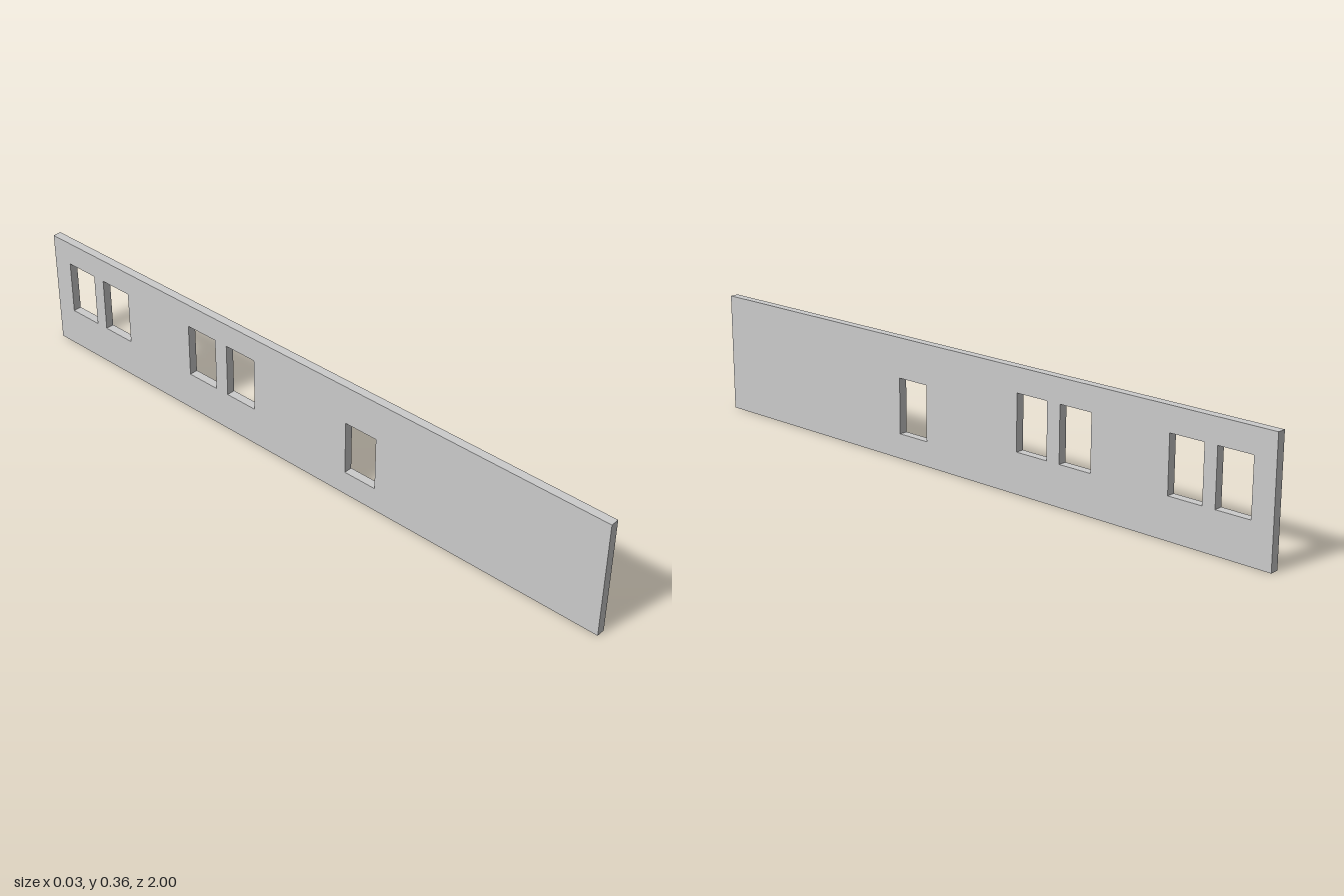
import * as THREE from 'three';

const LENGTH = 2, HEIGHT = 0.357, THICKNESS = 0.026;
const WINDOW_W = 0.106, WINDOW_H = 0.165;

// Window openings: centre z and sill height
const WINDOWS = [
  [0.213, 0.074],
  [-0.231, 0.12],
  [-0.381, 0.12],
  [-0.737, 0.12],
  [-0.882, 0.12],
];

// Adds a rectangle to a shape or hole path
function rect(path, x, y, w, h) {
  path.moveTo(x, y);
  path.lineTo(x + w, y);
  path.lineTo(x + w, y + h);
  path.lineTo(x, y + h);
  path.closePath();
  return path;
}

export function createModel() {
  const group = new THREE.Group();
  group.name = 'windowedWall';

  // Wall outline, drawn with shape x running towards -z
  const outline = rect(new THREE.Shape(), -LENGTH / 2, 0, LENGTH, HEIGHT);
  for (const [z, sill] of WINDOWS) {
    outline.holes.push(rect(new THREE.Path(), -z - WINDOW_W / 2, sill, WINDOW_W, WINDOW_H));
  }

  // Thin slab with the openings cut right through
  const geometry = new THREE.ExtrudeGeometry(outline, { depth: THICKNESS, bevelEnabled: false });
  geometry.translate(0, 0, -THICKNESS / 2);
  geometry.rotateY(Math.PI / 2);

  const wall = new THREE.Mesh(
    geometry,
    new THREE.MeshStandardMaterial({ color: 0xcccccc, flatShading: true })
  );
  wall.name = 'wall';
  group.add(wall);
  return group;
}
